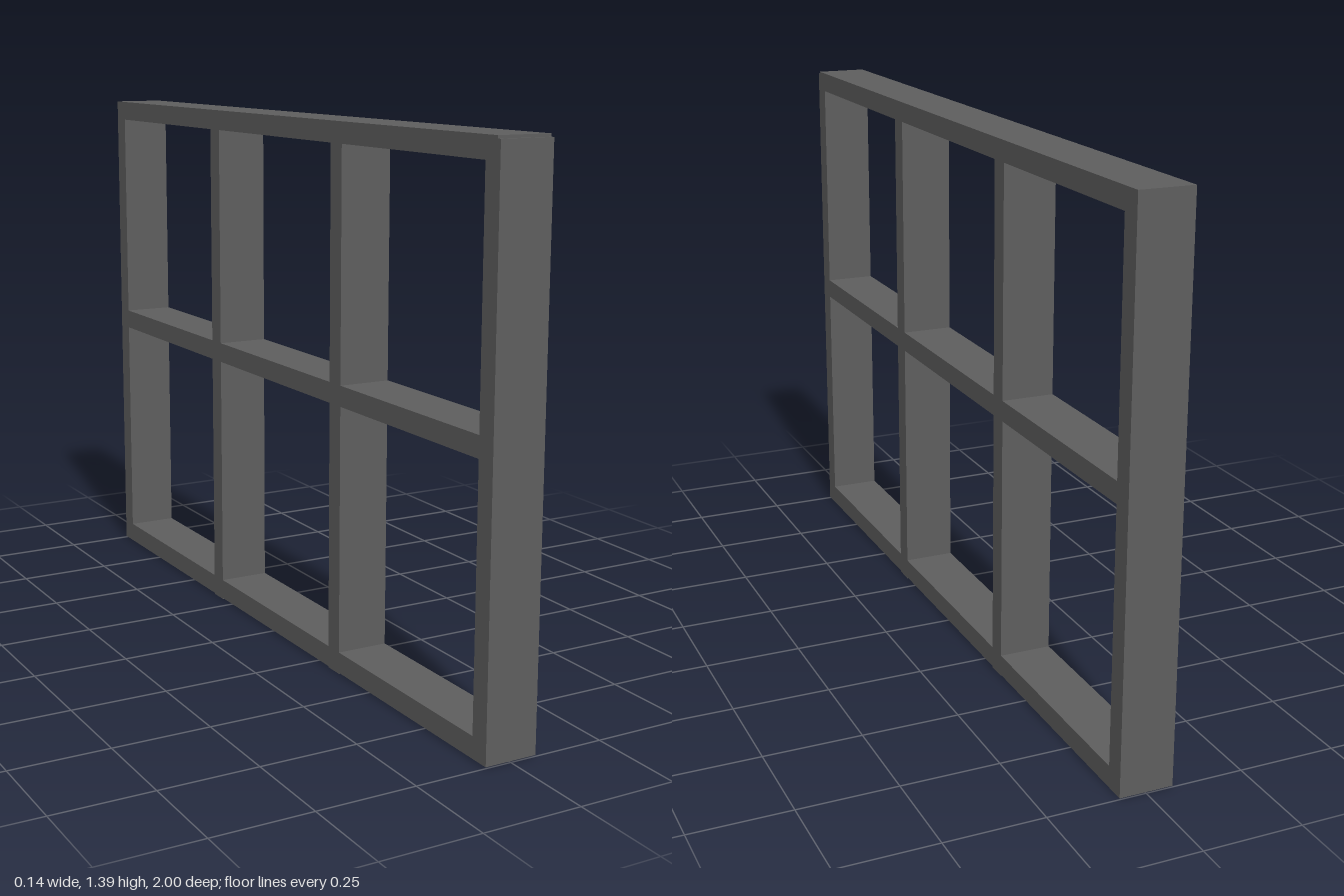
import * as THREE from 'three';

// Open six-pane frame: boards of equal depth, standing in the YZ plane.
export function createModel() {
  const group = new THREE.Group();
  const darkGrey = new THREE.MeshStandardMaterial({ color: 0x5e5e5e });
  darkGrey.name = 'darkGrey';
  const depth = 0.136;

  function board(name, y0, y1, z0, z1) {
    const mesh = new THREE.Mesh(new THREE.BoxGeometry(depth, y1 - y0, z1 - z0), darkGrey);
    mesh.name = name;
    mesh.position.set(0, (y0 + y1) / 2, (z0 + z1) / 2);
    group.add(mesh);
  }

  // Outer posts, the front one a touch shorter
  board('frontPost', 0.003, 1.381, 0.947, 1);
  board('backPost', 0.003, 1.388, -1, -0.947);

  // Top and bottom rails between the outer posts
  board('topRail', 1.335, 1.388, -0.947, 0.99);
  board('bottomRail', 0.003, 0.057, -0.947, 0.947);

  // Middle rail, cut into three lengths by the dividers
  const dividers = [[-0.355, -0.302], [0.304, 0.357]];
  const edges = [-0.947, ...dividers.flat(), 0.947];
  for (let i = 0; i < edges.length; i += 2) {
    board('middleRail' + (i / 2 + 1), 0.694, 0.747, edges[i], edges[i + 1]);
  }

  // Upright dividers, just reaching through the bottom rail
  dividers.forEach(([z0, z1], i) => board('divider' + (i + 1), 0, 1.336, z0, z1));

  return group;
}
